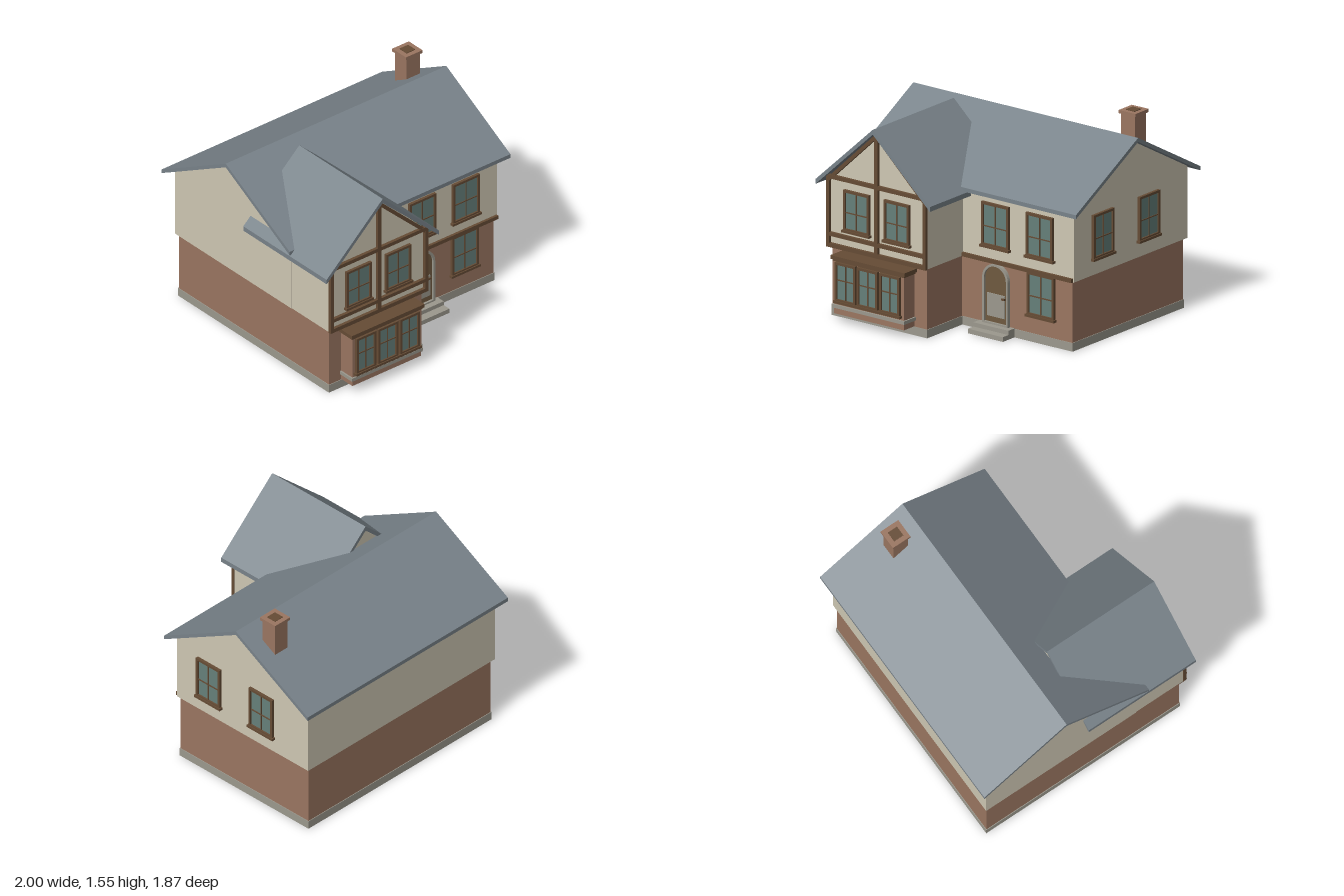
import * as THREE from 'three';

const mat = (name, color) => new THREE.MeshStandardMaterial({ name, color });

export function createModel() {
  const M = {
    cream: mat('cream render', 0xcfc8b4),
    brick: mat('brick', 0x9b7661),
    slate: mat('slate', 0x79838a),
    timber: mat('timber', 0x664c35),
    stone: mat('stone', 0x9c998e),
    glass: mat('glass', 0x66807a),
    door: mat('door wood', 0x6f5a40),
  };
  const house = new THREE.Group();
  house.name = 'house';

  const add = (name, geo, material, parent = house) => {
    const m = new THREE.Mesh(geo, material);
    m.name = name;
    parent.add(m);
    return m;
  };
  // Box given by its limits on each axis
  const box = (name, material, x0, x1, y0, y1, z0, z1, parent) => {
    const g = new THREE.BoxGeometry(x1 - x0, y1 - y0, z1 - z0);
    g.translate((x0 + x1) / 2, (y0 + y1) / 2, (z0 + z1) / 2);
    return add(name, g, material, parent);
  };
  const poly = (pts) => new THREE.Shape(pts.map(([x, y]) => new THREE.Vector2(x, y)));
  const extrude = (shape, depth) =>
    new THREE.ExtrudeGeometry(shape, { depth, bevelEnabled: false, curveSegments: 16 });

  // Shapes across a gable: solid wall, and a chevron for roofs and rakes
  const gable = (hw, y0, eave, peak) => poly([[-hw, y0], [hw, y0], [hw, eave], [0, peak], [-hw, eave]]);
  const chevron = (hw, eave, peak, t) =>
    poly([[-hw, eave - t], [0, peak - t], [hw, eave - t], [hw, eave], [0, peak], [-hw, eave]]);

  // L-shaped ground floor; shape y is -z
  const footprint = (name, material, e, y0, y1) => {
    const g = extrude(poly([
      [-0.91 - e, -0.783 - e], [-0.07 + e, -0.783 - e], [-0.07 + e, -0.388 - e],
      [0.91 + e, -0.388 - e], [0.91 + e, 0.858 + e], [-0.91 - e, 0.858 + e],
    ]), y1 - y0);
    g.rotateX(-Math.PI / 2).translate(0, y0, 0);
    add(name, g, material);
  };
  footprint('plinth', M.stone, 0.005, 0, 0.062);
  footprint('groundFloorWalls', M.brick, 0, 0.062, 0.512);

  // Main upper floor and roof, ridge along x
  const alongX = (name, shape, material, hx) => {
    const g = extrude(shape, hx * 2);
    g.translate(0, 0, -hx).rotateY(Math.PI / 2).translate(0, 0, -0.238);
    add(name, g, material);
  };
  alongX('mainUpperWalls', gable(0.638, 0.512, 1.046, 1.4), M.cream, 0.932);
  alongX('mainRoof', chevron(0.7, 1.037, 1.425, 0.03), M.slate, 1);

  // Front wing upper floor and roof, ridge along z
  const alongZ = (name, shape, material, z0, z1) => {
    const g = extrude(shape, z1 - z0);
    g.translate(-0.49, 0, z0);
    add(name, g, material);
  };
  alongZ('wingUpperWalls', gable(0.438, 0.512, 1.012, 1.425), M.cream, -0.03, 0.805);
  alongZ('wingRoof', chevron(0.508, 1.0, 1.464, 0.036), M.slate, -0.048, 0.863);

  // Timber framing on the wing front
  const beam = (name, x0, x1, y0, y1) => box(name, M.timber, x0, x1, y0, y1, 0.803, 0.829);
  beam('leftPost', -0.932, -0.905, 0.51, 1.03);
  beam('rightPost', -0.075, -0.048, 0.51, 1.03);
  beam('centrePost', -0.505, -0.475, 0.512, 1.4);
  beam('bottomBeam', -0.93, -0.05, 0.51, 0.54);
  beam('lowerRail', -0.93, -0.05, 0.593, 0.62);
  beam('topRail', -0.93, -0.05, 1.015, 1.043);
  alongZ('gableRakes', chevron(0.42, 1.03, 1.424, 0.036), M.timber, 0.803, 0.827);
  box('stringBeam', M.timber, -0.05, 0.925, 0.512, 0.54, 0.385, 0.42);

  // Window: origin at the bottom centre on the wall, facing +z
  const makeWindow = (name, w, h, x, y, z, turn = 0, barY = 0.45) => {
    const g = new THREE.Group();
    g.name = name;
    const f = 0.018, a = w / 2;
    const ring = poly([[-a, 0], [a, 0], [a, h], [-a, h]]);
    ring.holes.push(poly([[f - a, f], [f - a, h - f], [a - f, h - f], [a - f, f]]));
    add('windowFrame', extrude(ring, 0.022), M.timber, g);
    box('windowPane', M.glass, f - a, a - f, f, h - f, 0.002, 0.01, g);
    box('uprightBar', M.timber, -0.004, 0.004, f, h - f, 0.008, 0.016, g);
    box('crossBar', M.timber, f - a, a - f, h * barY - 0.004, h * barY + 0.004, 0.008, 0.016, g);
    box('windowSill', M.timber, -a - 0.01, a + 0.01, -0.012, 0.006, 0, 0.03, g);
    g.position.set(x, y, z);
    g.rotation.y = turn;
    house.add(g);
  };
  for (const x of [-0.67, -0.312]) makeWindow('wingWindow', 0.225, 0.3, x, 0.655, 0.805);
  for (const x of [0.243, 0.638]) makeWindow('upperWindow', 0.24, 0.32, x, 0.632, 0.4);
  makeWindow('lowerWindow', 0.24, 0.318, 0.638, 0.196, 0.388);
  for (const z of [0.083, -0.43]) makeWindow('sideWindow', 0.23, 0.325, 0.932, 0.632, z, Math.PI / 2);

  // Bay window
  box('bayWalls', M.brick, -0.8, -0.18, 0.065, 0.465, 0.77, 0.905);
  box('baySill', M.stone, -0.812, -0.168, 0.11, 0.135, 0.78, 0.917);
  box('bayCornice', M.timber, -0.808, -0.172, 0.452, 0.468, 0.78, 0.912);
  box('bayTop', M.timber, -0.82, -0.16, 0.466, 0.492, 0.78, 0.923);
  for (const x of [-0.688, -0.492, -0.294]) makeWindow('bayPane', 0.18, 0.288, x, 0.163, 0.905, 0, 0.55);

  // Arched doorway
  const arch = (r, y0) => {
    const s = new THREE.Shape();
    s.moveTo(-r, y0);
    s.lineTo(r, y0);
    s.lineTo(r, 0.395);
    s.absarc(0, 0.395, r, 0, Math.PI, false);
    s.lineTo(-r, y0);
    return s;
  };
  const surround = arch(0.114, 0.064);
  surround.holes.push(arch(0.097, 0.078));
  add('doorSurround', extrude(surround, 0.03), M.stone).position.set(0.243, 0, 0.386);
  add('door', extrude(arch(0.1, 0.07), 0.014), M.door).position.set(0.243, 0, 0.386);
  box('doorPanel', M.stone, 0.163, 0.32, 0.12, 0.288, 0.398, 0.406);
  box('doorHandle', M.timber, 0.298, 0.324, 0.256, 0.27, 0.4, 0.415);
  box('lowerStep', M.stone, 0.087, 0.398, 0, 0.034, 0.38, 0.522);
  box('upperStep', M.stone, 0.087, 0.398, 0.034, 0.065, 0.38, 0.46);

  // Chimney
  box('chimneyStack', M.brick, 0.745, 0.868, 1.15, 1.525, -0.492, -0.368);
  box('chimneyCap', M.brick, 0.732, 0.882, 1.522, 1.545, -0.506, -0.356);
  box('chimneyFlue', M.timber, 0.768, 0.846, 1.54, 1.549, -0.47, -0.392);

  return house;
}
